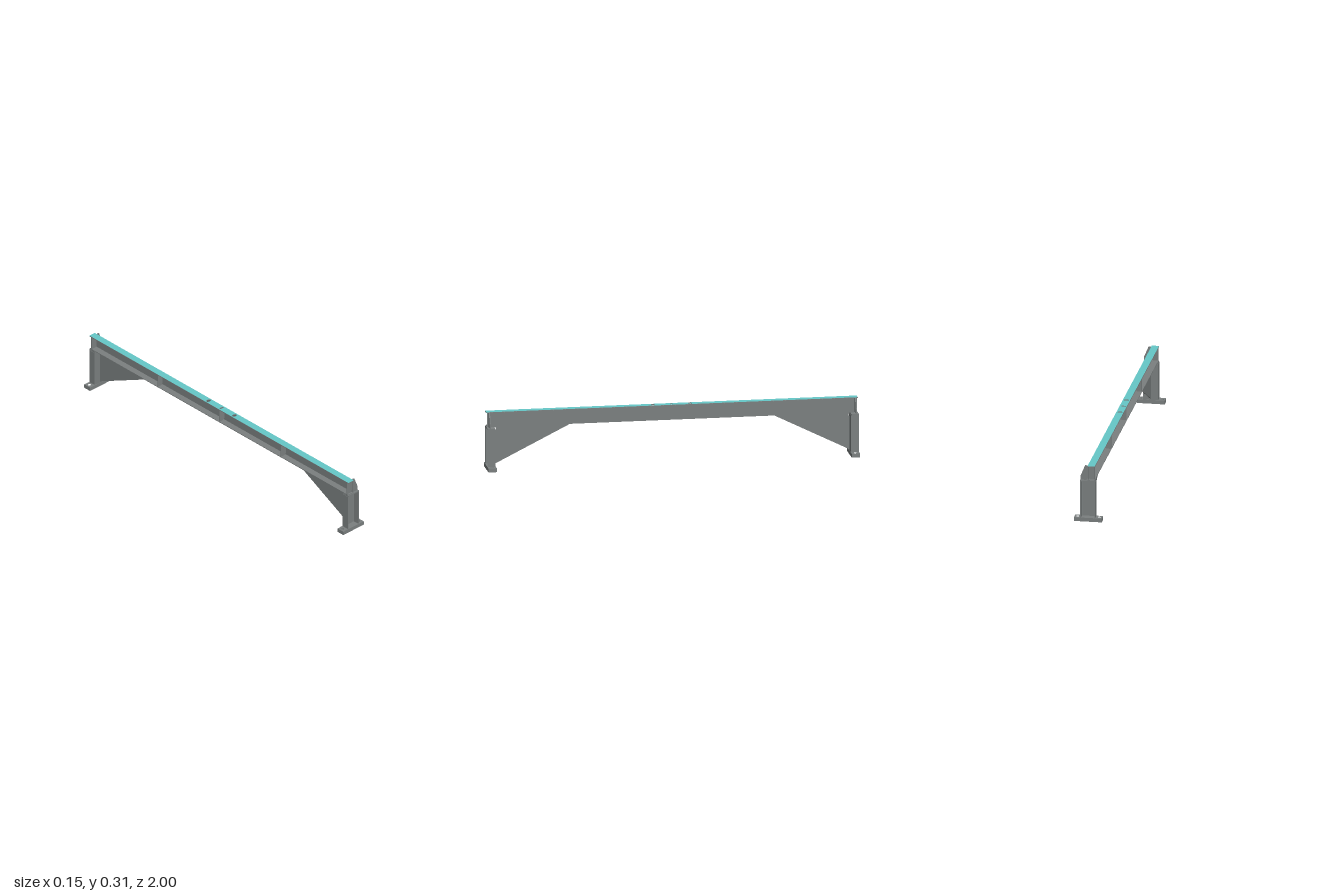
import * as THREE from 'three';

const steel = new THREE.MeshStandardMaterial({ color: 0x7b8080 });
steel.name = 'grey steel';
const teal = new THREE.MeshStandardMaterial({ color: 0x66c8c8 });
teal.name = 'teal top face';

const polygon = (pts) => new THREE.Shape(pts.map(([a, b]) => new THREE.Vector2(a, b)));

function ellipseHole(shape, x, y, rx, ry) {
  const hole = new THREE.Path();
  hole.absellipse(x, y, rx, ry, 0, Math.PI * 2, true);
  shape.holes.push(hole);
}

const extrude = (shape, depth) =>
  new THREE.ExtrudeGeometry(shape, { depth, bevelEnabled: false, curveSegments: 10 });

// Outline in (z, y), thickness in x, ending at xMax
const sidePlate = (shape, xMax, t) => extrude(shape, t).rotateY(-Math.PI / 2).translate(xMax, 0, 0);
// Outline in (x, z), thickness downward from yTop
const planPlate = (shape, yTop, t) => extrude(shape, t).rotateX(Math.PI / 2).translate(0, yTop, 0);
// Outline in (x, y), thickness in z, centred on z
const crossPlate = (shape, z, t) => extrude(shape, t).translate(0, 0, z - t / 2);

export function createModel() {
  const model = new THREE.Group();
  model.name = 'supportBeam';
  const add = (name, geometry, material = steel) => {
    const mesh = new THREE.Mesh(geometry, material);
    mesh.name = name;
    model.add(mesh);
  };

  // Web plate with a sloping haunch toward each post, coped around the post caps
  const half = [
    [0.55, 0.23], [0.956, 0.028], [0.956, 0.208], [0.948, 0.214],
    [0.948, 0.225], [0.958, 0.23], [0.995, 0.23], [0.995, 0.308],
  ];
  const mirrored = half.map(([z, y]) => [-z, y]).reverse();
  add('webPlate', sidePlate(polygon([...half, ...mirrored]), 0.003, 0.004));

  // Top flange with two bolt holes and a centre slot
  const flange = polygon([[-0.037, -1], [0.002, -1], [0.002, 1], [-0.037, 1]]);
  for (const z of [-0.1, 0.1]) ellipseHole(flange, -0.018, z, 0.014, 0.01);
  ellipseHole(flange, -0.018, 0, 0.014, 0.006);
  add('topFlange', planPlate(flange, 0.3105, 0.004));
  add('topFlangePaint',
    new THREE.ShapeGeometry(flange, 10).rotateX(-Math.PI / 2).translate(0, 0.3112, 0), teal);

  // Bottom flange
  add('bottomFlange', new THREE.BoxGeometry(0.036, 0.004, 1.99).translate(-0.018, 0.232, 0));

  // Stiffeners inside the channel, snipped at the web corners
  const stiffener = polygon([
    [-0.035, 0.234], [-0.009, 0.234], [-0.001, 0.243],
    [-0.001, 0.298], [-0.009, 0.3065], [-0.035, 0.3065],
  ]);
  for (const z of [-0.985, -0.475, 0, 0.475, 0.985]) {
    add('stiffener', crossPlate(stiffener, z, 0.006));
  }

  // Tapered gusset on the outer side of the web
  const gusset = polygon([
    [0.003, 0.24], [0.01, 0.23], [0.04, 0.23], [0.04, 0.255], [0.017, 0.31], [0.003, 0.31],
  ]);

  for (const s of [-1, 1]) {
    add('gusset', crossPlate(gusset, s * 0.985, 0.006));

    // Channel post, open toward the end of the beam
    const post = polygon([
      [-0.039, 0.957], [0.042, 0.957], [0.042, 0.999], [0.038, 0.999],
      [0.036, 0.966], [0.033, 0.963], [-0.03, 0.963], [-0.033, 0.966],
      [-0.035, 0.999], [-0.039, 0.999],
    ].map(([x, z]) => [x, s * z]));
    add('post', planPlate(post, 0.223, 0.203));

    // Cap plate under the beam
    add('postCap', new THREE.BoxGeometry(0.08, 0.007, 0.041).translate(0.0025, 0.2265, s * 0.9785));

    // Base plate with anchor holes
    const base = polygon([[-0.075, 0.955], [0.075, 0.955], [0.075, 1], [-0.075, 1]]
      .map(([x, z]) => [x, s * z]));
    for (const x of [-0.058, 0.058]) ellipseHole(base, x, s * 0.9775, 0.008, 0.008);
    add('basePlate', planPlate(base, 0.021, 0.021));
  }

  return model;
}
